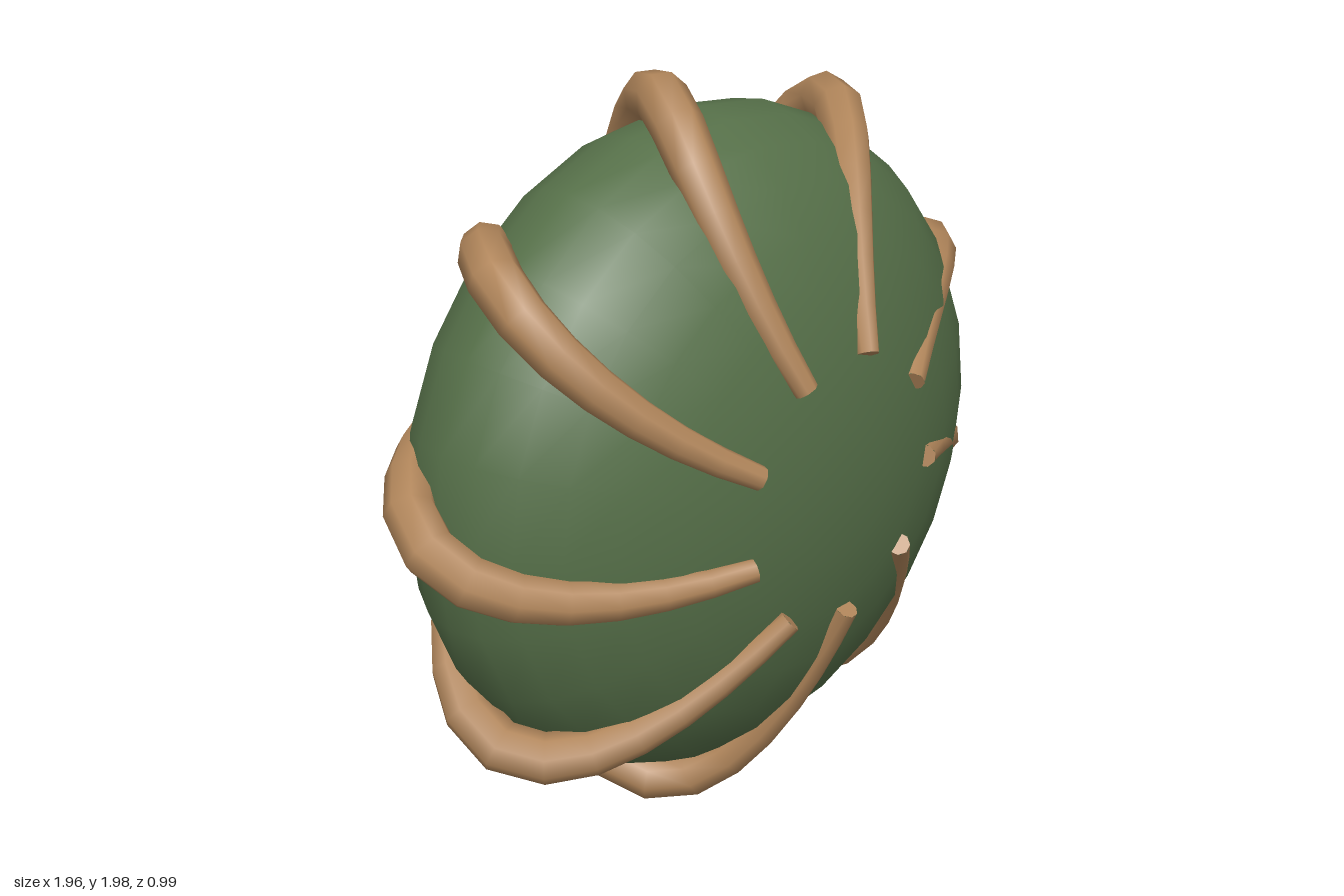
import * as THREE from 'three';
import { mergeGeometries } from 'three/addons/utils/BufferGeometryUtils.js';

const RIBS = 9, SEGMENTS = 14, SIDES = 8;

// Path from the front hub, over the rim, to the back hub, with a slight twist
class RibCurve extends THREE.Curve {
  getPoint(t, target = new THREE.Vector3()) {
    const r = 0.345 + 0.595 * Math.sin(Math.PI * t);
    const a = THREE.MathUtils.degToRad(115.5 - 35 * t);
    return target.set(r * Math.cos(a), r * Math.sin(a), 0.47 - 0.94 * t);
  }
}

// Tube that is thin at both ends and thick at the rim, closed with discs
function ribGeometry() {
  const curve = new RibCurve();
  const tube = new THREE.TubeGeometry(curve, SEGMENTS, 1, SIDES, false);
  const pos = tube.attributes.position, v = new THREE.Vector3();
  for (let i = 0; i <= SEGMENTS; i++) {
    const u = i / SEGMENTS, centre = curve.getPointAt(u);
    const radius = 0.03 + 0.037 * Math.sin(Math.PI * curve.getUtoTmapping(u));
    for (let j = 0; j <= SIDES; j++) {
      const k = i * (SIDES + 1) + j;
      v.fromBufferAttribute(pos, k).sub(centre).multiplyScalar(radius).add(centre);
      pos.setXYZ(k, v.x, v.y, v.z);
    }
  }
  const caps = [0, 1].map((u) => {
    const dir = curve.getTangentAt(u).multiplyScalar(u ? 1 : -1);
    const turn = new THREE.Quaternion().setFromUnitVectors(new THREE.Vector3(0, 0, 1), dir);
    const p = curve.getPointAt(u);
    return new THREE.CircleGeometry(0.03, SIDES).applyQuaternion(turn).translate(p.x, p.y, p.z);
  });
  return mergeGeometries([tube, ...caps]);
}

export function createModel() {
  const green = new THREE.MeshStandardMaterial({ color: 0x567049 });
  green.name = 'moss green';
  const brown = new THREE.MeshStandardMaterial({ color: 0xb0855a });
  brown.name = 'tan brown';

  const model = new THREE.Group();
  model.name = 'ribbedDisc';

  // Flattened body, poles facing front and back, leaning slightly
  const bodyGeometry = new THREE.SphereGeometry(1, 24, 16).rotateX(Math.PI / 2);
  bodyGeometry.scale(0.885, 0.88, 0.497);
  const body = new THREE.Mesh(bodyGeometry, green);
  body.name = 'body';
  body.position.set(0.025, 0.995, 0);
  body.rotation.y = THREE.MathUtils.degToRad(-3);
  model.add(body);

  // Ring of identical twisted ribs
  const ribs = new THREE.Group();
  ribs.name = 'ribs';
  ribs.position.set(0.02, 0.993, 0);
  const geometry = ribGeometry();
  for (let i = 0; i < RIBS; i++) {
    const rib = new THREE.Mesh(geometry, brown);
    rib.name = 'rib' + (i + 1);
    rib.rotation.z = (i / RIBS) * Math.PI * 2;
    ribs.add(rib);
  }
  model.add(ribs);
  return model;
}
